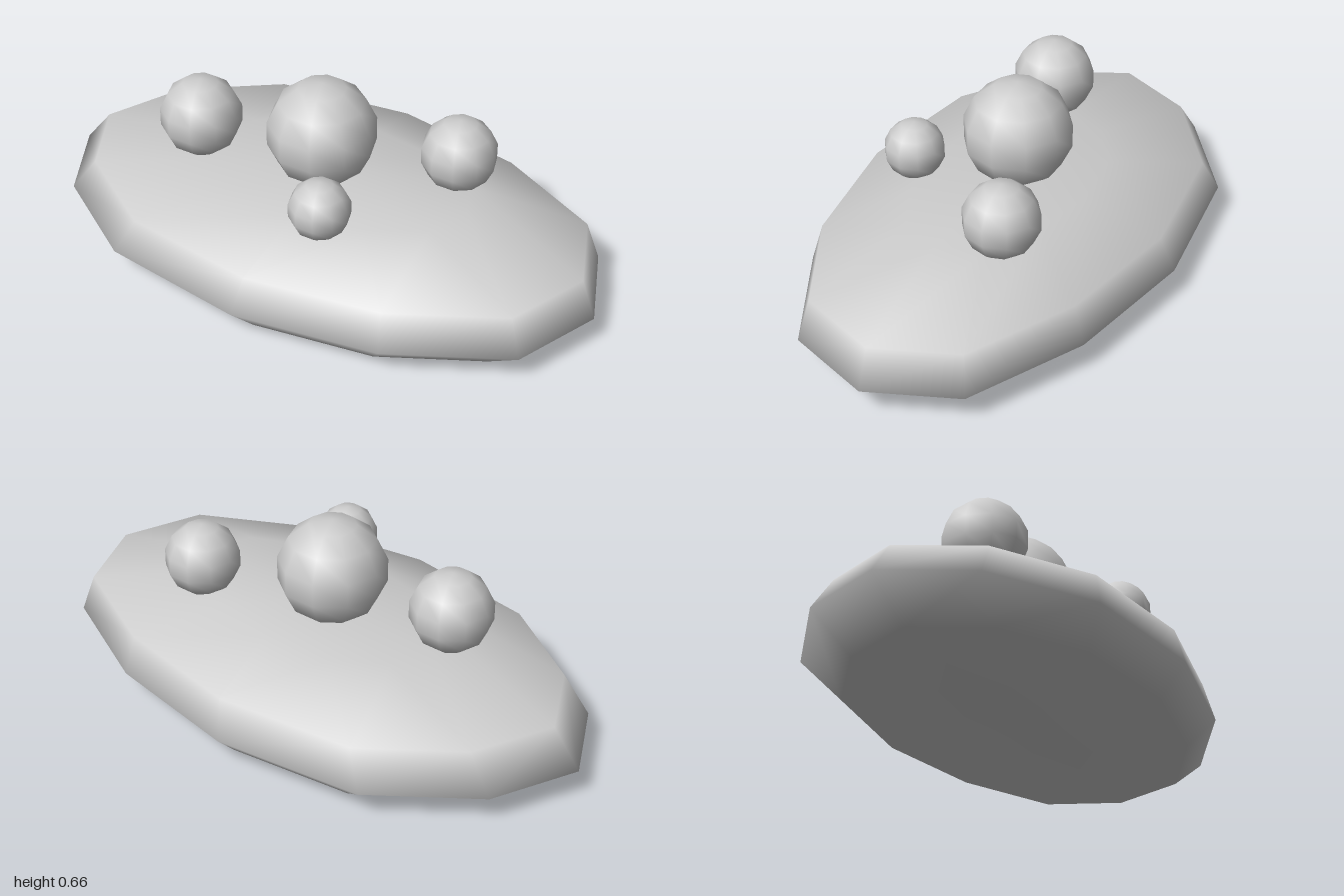
import * as THREE from 'three';

// Closed smooth skin over a stack of rings with an end point at each side
function skin(rings, bottom, top) {
  const n = rings[0].length;
  const points = [...rings.flat(), bottom, top];
  const low = rings.length * n, high = low + 1, last = (rings.length - 1) * n;
  const index = [];
  for (let i = 0; i < n; i++) {
    const j = (i + 1) % n;
    index.push(low, i, j, high, last + j, last + i);
    for (let r = 0; r < rings.length - 1; r++) {
      const a = r * n + i, b = r * n + j;
      index.push(a, a + n, b, b, a + n, b + n);
    }
  }
  const geometry = new THREE.BufferGeometry();
  geometry.setAttribute('position', new THREE.Float32BufferAttribute(points.flat(), 3));
  geometry.setIndex(index);
  geometry.computeVertexNormals();
  return geometry;
}

export function createModel() {
  const model = new THREE.Group();
  const grey = new THREE.MeshStandardMaterial({ color: 0xcccccc });
  grey.name = 'light grey';

  // Twelve-sided, slightly uneven outline of the base at its widest, as x, z
  const outline = [
    [-1, 0], [-0.86, -0.29], [-0.53, -0.525], [-0.01, -0.59], [0.48, -0.5], [0.88, -0.3],
    [1, 0], [0.88, 0.3], [0.49, 0.5], [-0.01, 0.58], [-0.52, 0.505], [-0.86, 0.28],
  ];
  // Rings from the ground up: scale, x shift, height, tilt along x
  const levels = [
    [0.83, 0.02, 0, 0], [1, 0, 0.105, 0], [0.925, 0.025, 0.236, 0.005], [0.48, 0.05, 0.327, 0.035],
  ];
  const rings = levels.map(([scale, shift, y, tilt]) =>
    outline.map(([x, z]) => [x * scale + shift, y + tilt * x * scale, z * scale]));
  const base = new THREE.Mesh(skin(rings, [0.02, 0, 0], [0, 0.34, 0]), grey);
  base.name = 'base';
  model.add(base);

  // Balls sunk into the top of the base
  const balls = [
    ['largeBall', -0.015, 0.473, -0.003, 0.188],
    ['rightBall', -0.44, 0.44, 0.08, 0.142],
    ['leftBall', 0.41, 0.435, -0.172, 0.13],
    ['smallBall', 0.155, 0.41, 0.295, 0.104],
  ];
  for (const [name, x, y, z, radius] of balls) {
    const ball = new THREE.Mesh(new THREE.SphereGeometry(radius, 10, 7), grey);
    ball.name = name;
    ball.position.set(x, y, z);
    model.add(ball);
  }
  return model;
}
